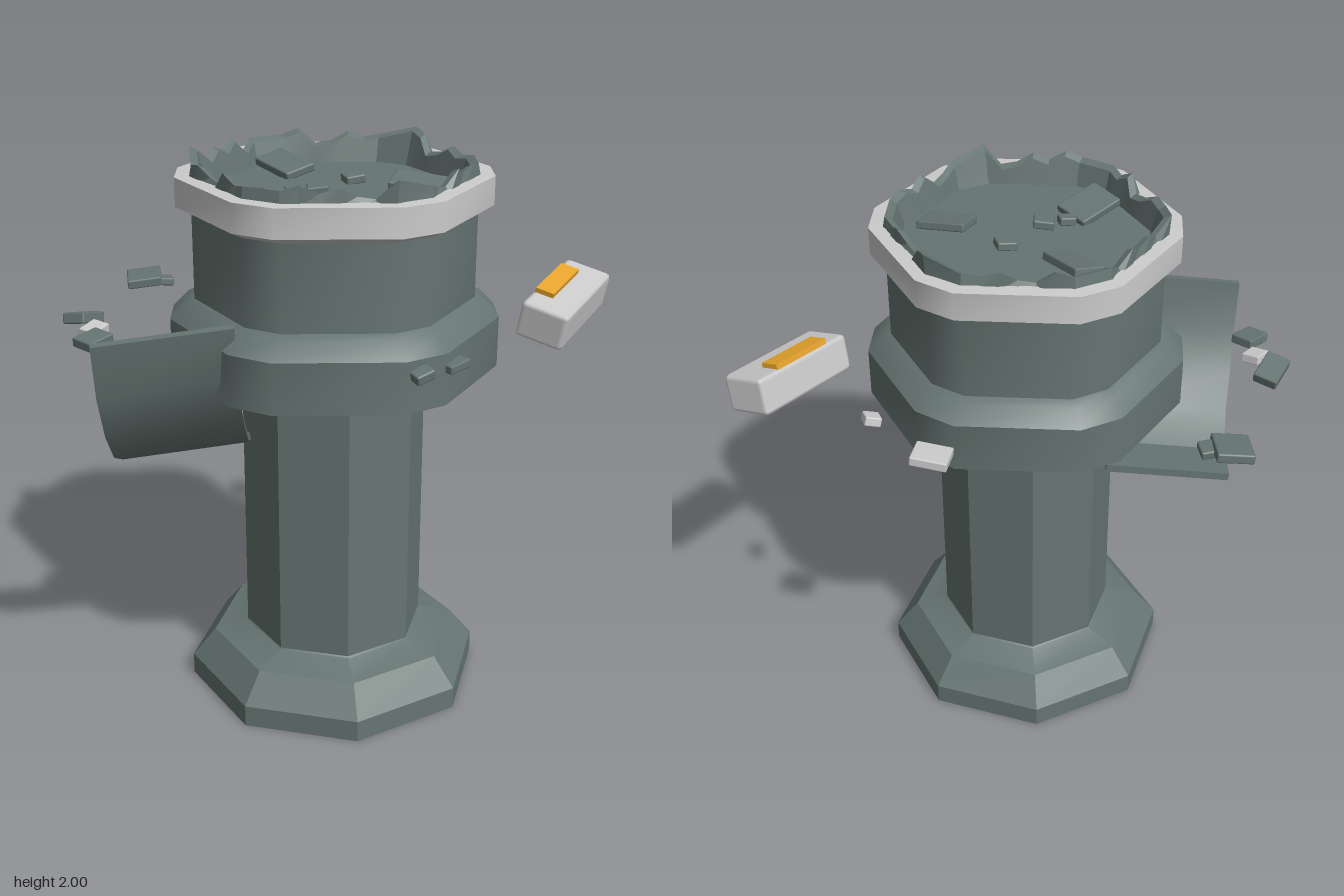
import * as THREE from 'three';
import { toCreasedNormals } from 'three/addons/utils/BufferGeometryUtils.js';
import { RoundedBoxGeometry } from 'three/addons/geometries/RoundedBoxGeometry.js';

const stone = new THREE.MeshStandardMaterial({ color: 0x667572, side: THREE.DoubleSide });
const light = new THREE.MeshStandardMaterial({ color: 0xcccccc, side: THREE.DoubleSide });
const amber = new THREE.MeshStandardMaterial({ color: 0xe8a52c });

// Skins a list of closed rings of Vector3, with optional end caps
function loft(rings, caps = false, crease = 0.6) {
  const pos = [];
  const tri = (...pts) => pts.forEach((p) => pos.push(p.x, p.y, p.z));
  const n = rings[0].length;
  for (let j = 0; j < rings.length - 1; j++) {
    for (let i = 0; i < n; i++) {
      const k = (i + 1) % n;
      const [a, b, c, d] = [rings[j][i], rings[j][k], rings[j + 1][k], rings[j + 1][i]];
      tri(a, b, c);
      tri(a, c, d);
    }
  }
  if (caps) {
    const first = rings[0], last = rings[rings.length - 1];
    for (let i = 1; i < n - 1; i++) {
      tri(first[0], first[i + 1], first[i]);
      tri(last[0], last[i], last[i + 1]);
    }
  }
  const g = new THREE.BufferGeometry();
  g.setAttribute('position', new THREE.Float32BufferAttribute(pos, 3));
  return toCreasedNormals(g, crease);
}

function add(parent, name, geometry, material) {
  const m = new THREE.Mesh(geometry, material);
  m.name = name;
  parent.add(m);
  return m;
}

// Unit plans, measured by the distance from centre to a flat side
const octagon = [];
for (let i = 0; i < 8; i++) {
  const a = (i + 0.5) * Math.PI / 4, r = 1 / Math.cos(Math.PI / 8);
  octagon.push([r * Math.cos(a), -r * Math.sin(a)]);
}
const hexagon = []; // hexagon with clipped corners
for (let i = 0; i < 6; i++) {
  for (const side of [-8, 8]) {
    const a = (30 + i * 60 + side) * Math.PI / 180;
    hexagon.push([1.076 * Math.cos(a), -1.076 * Math.sin(a)]);
  }
}
const ring = (plan, r, y) => plan.map(([x, z]) => new THREE.Vector3(x * r, y, z * r));
const turned = (plan, profile) => loft(profile.map(([r, y]) => ring(plan, r, y)));

// Broken lip: long sides are split so the crest can be uneven
function brokenLip() {
  const plan = [], crest = [];
  const heights = [1.955, 1.935, 1.975, 1.985, 1.945];
  hexagon.forEach((p, i) => {
    const q = hexagon[(i + 1) % 12];
    const steps = i % 2 ? 6 : 1;
    for (let s = 0; s < steps; s++) {
      const t = s / steps;
      plan.push([p[0] + (q[0] - p[0]) * t, p[1] + (q[1] - p[1]) * t]);
      crest.push(s === 0 ? (i % 4 === 0 ? 2 : 1.965) : heights[(s * 2 + i * 3) % 5]);
    }
  });
  const top = (r, drop) => plan.map(([x, z], i) => {
    const lean = r + (crest[i] - 1.95) * 0.4;
    return new THREE.Vector3(x * lean, crest[i] - drop, z * lean);
  });
  return loft([ring(plan, 0.46, 1.915), top(0.445, 0), top(0.42, 0.012), ring(plan, 0.405, 1.87)], false, 0.3);
}

// Curved torn-off wall panel, swept along its outer edge
function tornPanel() {
  const edge = [
    [-1, 1.46, 0.15], [-0.98, 1.27, 0.13], [-0.93, 1.1, 0.06],
    [-0.87, 0.98, -0.02], [-0.78, 0.9, -0.16], [-0.7, 0.91, -0.32],
  ].map((p) => new THREE.Vector3(...p));
  const width = new THREE.Vector3(0.42, 0.05, 0.2);
  const rings = edge.map((p, i) => {
    const dir = edge[Math.min(i + 1, 5)].clone().sub(edge[Math.max(i - 1, 0)]);
    const inner = p.clone().addScaledVector(dir.cross(width).normalize(), -0.03);
    return [inner, inner.clone().add(width), p.clone().add(width), p];
  });
  return loft(rings, true, 0.45);
}

export function createModel() {
  const model = new THREE.Group();
  model.name = 'ruinedTower';
  const tower = new THREE.Group();
  tower.name = 'tower';
  tower.position.set(-0.08, 0, 0.15);
  model.add(tower);

  // Hollow foot and shaft
  add(tower, 'footAndShaft', turned(octagon, [
    [0.5, 0], [0.5, 0.08], [0.42, 0.185], [0.31, 0.215], [0.305, 0.22], [0.305, 1.38], [0.4, 1.42],
  ]), stone);

  // Collar, drum, pale rim and broken lip of the head
  add(tower, 'collarAndDrum', turned(hexagon, [
    [0.38, 1.42], [0.38, 1.25], [0.535, 1.25], [0.535, 1.43], [0.485, 1.485],
    [0.455, 1.5], [0.455, 1.8],
  ]), stone);
  add(tower, 'rim', turned(hexagon, [
    [0.455, 1.8], [0.505, 1.825], [0.505, 1.925], [0.45, 1.928],
  ]), light);
  add(tower, 'brokenLip', brokenLip(), stone);
  add(tower, 'floor', turned(hexagon, [[0.42, 1.87], [0, 1.87]]), stone);

  add(model, 'tornPanel', tornPanel(), stone);

  // Floating pale block with an amber plate
  const block = new THREE.Group();
  block.name = 'floatingBlock';
  block.position.set(0.74, 1.393, 0.418);
  block.rotation.set(0.22, 0.545, 0.1, 'YXZ');
  model.add(block);
  add(block, 'blockBody', new RoundedBoxGeometry(0.46, 0.14, 0.18, 1, 0.018), light);
  add(block, 'blockPlate', new THREE.BoxGeometry(0.26, 0.025, 0.07), amber)
    .position.set(0, 0.075, -0.045);

  // Rubble: x, y, z, width, height, depth, turn, tilt
  const rubble = (name, material, list) => list.forEach(([x, y, z, w, h, d, turn, tilt]) => {
    const m = add(model, name, new RoundedBoxGeometry(w, h, d, 1, 0.006), material);
    m.position.set(x, y, z);
    m.rotation.set(tilt * 0.6, turn, tilt, 'YXZ');
  });
  rubble('floatingRubble', stone, [
    [-0.43, 1.39, -0.69, 0.13, 0.035, 0.14, -0.4, 0.1],
    [-0.36, 1.38, -0.645, 0.055, 0.03, 0.07, -0.3, -0.1],
    [-0.82, 1.39, -0.35, 0.13, 0.04, 0.09, 0.6, -0.25],
    [-0.88, 1.385, -0.12, 0.11, 0.035, 0.09, 0.35, 0.1],
    [-0.11, 1.385, 0.73, 0.07, 0.035, 0.07, 0, 0.25],
    [0.04, 1.38, 0.7, 0.1, 0.03, 0.07, 0.25, 0.05],
  ]);
  rubble('paleRubble', light, [
    [-0.83, 1.38, -0.23, 0.085, 0.035, 0.07, 0.5, 0.15],
    [0.48, 1.375, -0.26, 0.13, 0.035, 0.11, -0.65, 0.1],
    [0.575, 1.37, 0.04, 0.06, 0.035, 0.065, -0.15, 0.3],
  ]);
  rubble('floorRubble', stone, [
    [-0.11, 1.9, -0.14, 0.12, 0.03, 0.2, 0.1, 0.2],
    [-0.36, 1.9, 0.21, 0.18, 0.03, 0.14, 0.25, -0.2],
    [0.14, 1.895, 0.33, 0.13, 0.03, 0.18, 0.75, 0.15],
    [0.02, 1.885, 0.11, 0.07, 0.03, 0.07, -0.2, 0.1],
    [-0.17, 1.885, 0.19, 0.075, 0.03, 0.07, -0.5, 0.1],
    [-0.25, 1.885, 0.17, 0.06, 0.03, 0.05, -0.2, 0.1],
  ]);
  return model;
}
